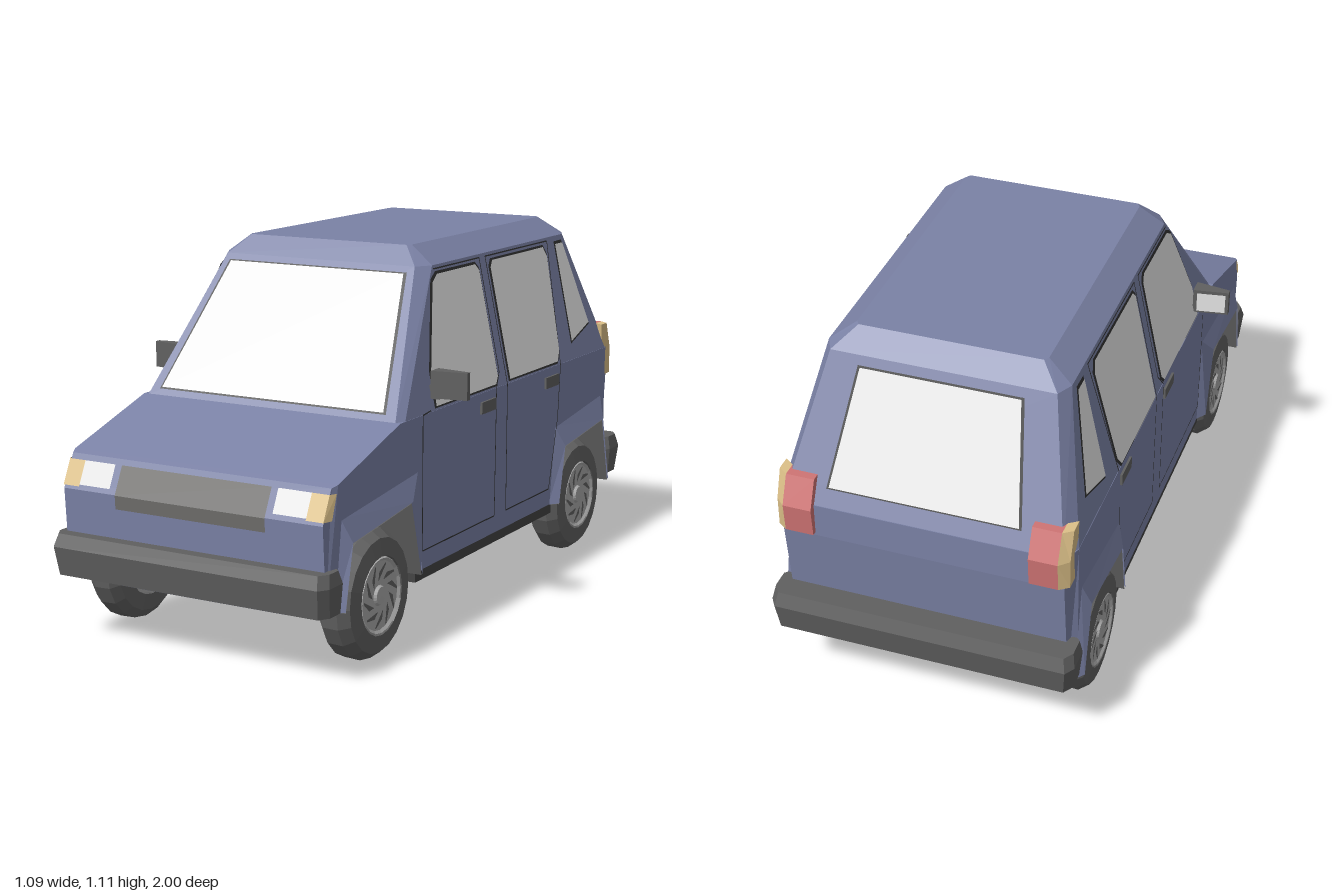
import * as THREE from 'three';

const paint = (color) => new THREE.MeshStandardMaterial({ color, side: THREE.DoubleSide });

export function createModel() {
  const car = new THREE.Group();
  car.name = 'car';
  const M = {
    bodyBlue: paint(0x7b82a6), glass: paint(0xe8e8e8), bumperGrey: paint(0x606060), grilleGrey: paint(0x6e6d6b),
    tyreGrey: paint(0x626262), rimSilver: paint(0xaaaaaa), trimDark: paint(0x343434), floorGrey: paint(0x444444),
    lampRed: paint(0xcf7474), lampAmber: paint(0xdcc088),
  };
  for (const key in M) M[key].name = key;

  const add = (parent, name, geo, mat) => {
    const mesh = new THREE.Mesh(geo, mat);
    mesh.name = name;
    parent.add(mesh);
  };
  const fromTriangles = (pts) => {
    const g = new THREE.BufferGeometry();
    g.setAttribute('position', new THREE.Float32BufferAttribute(pts.flat(), 3));
    g.computeVertexNormals();
    return g;
  };
  // Flat convex plate from 3D corners
  const plate = (p) => {
    const t = [];
    for (let i = 1; i < p.length - 1; i++) t.push(p[0], p[i], p[i + 1]);
    return fromTriangles(t);
  };
  // Side profile of [z, y] points extruded from x0 to x1
  const prism = (profile, x0, x1) => {
    const shape = new THREE.Shape(profile.map(([z, y]) => new THREE.Vector2(z, y)));
    const g = new THREE.ExtrudeGeometry(shape, { depth: x1 - x0, bevelEnabled: false });
    return g.rotateY(-Math.PI / 2).translate(x1, 0, 0);
  };
  const bend = (g, rule) => {
    const p = g.attributes.position, v = new THREE.Vector3();
    for (let i = 0; i < p.count; i++) {
      v.fromBufferAttribute(p, i);
      rule(v);
      p.setXYZ(i, v.x, v.y, v.z);
    }
    g.computeVertexNormals();
    return g;
  };
  // Horizontal ring with chamfered corners, and a loft through such rings
  const ring = (y, zf, zr, w, cx, cz, rx = cx, rz = cz) => [
    [w, y, zr + rz], [w, y, zf - cz], [w - cx, y, zf], [cx - w, y, zf],
    [-w, y, zf - cz], [-w, y, zr + rz], [rx - w, y, zr], [w - rx, y, zr]];
  const loft = (rings) => {
    const t = [], n = rings[0].length;
    for (let k = 0; k < rings.length - 1; k++) {
      const a = rings[k], b = rings[k + 1];
      for (let i = 0; i < n; i++) {
        const j = (i + 1) % n;
        t.push(a[i], b[i], a[j], b[i], b[j], a[j]);
      }
    }
    const lo = rings[0], hi = rings[rings.length - 1];
    for (let i = 1; i < n - 1; i++) t.push(lo[0], lo[i], lo[i + 1], hi[0], hi[i + 1], hi[i]);
    return fromTriangles(t);
  };
  // Surface positions of the body
  const sideX = (y) => 0.44 - Math.max(0, y - 0.655) * 0.2125;
  const rearZ = (y) => -0.745 - (1.055 - y) * 0.4875;
  const shieldZ = (y) => 0.55 - (y - 0.655) * 0.725;
  const noseZ = (y) => (y > 0.45 ? 0.955 - (y - 0.45) * 0.474 : 0.955 - (0.45 - y) * 0.06);
  const tailZ = (y) => -0.9 - (y - 0.2) * 0.114;

  // Lower body with wheel arches cut out, plus tapered nose and tail
  const frontArch = [[0.89, 0.2], [0.85, 0.385], [0.515, 0.425], [0.455, 0.2]];
  const rearArch = [[-0.48, 0.2], [-0.52, 0.385], [-0.825, 0.42], [-0.88, 0.2]];
  add(car, 'lowerBody', prism([[-0.88, 0.655], [0.55, 0.655], [0.89, 0.5515], ...frontArch, ...rearArch], -0.44, 0.44), M.bodyBlue);
  add(car, 'nose', bend(prism([[0.89, 0.2], [0.89, 0.5515], [0.91, 0.545], [0.955, 0.45], [0.94, 0.2]], -0.44, 0.44),
    (v) => { if (v.z > 0.9) v.x *= 0.98; }), M.bodyBlue);
  add(car, 'tail', bend(prism([[-0.88, 0.2], [-0.9, 0.2], [-0.94, 0.55], [-0.94, 0.655], [-0.88, 0.655]], -0.44, 0.44),
    (v) => { if (v.z < -0.89) v.x *= 0.95; }), M.bodyBlue);

  // Cabin and roof
  add(car, 'cabin', loft([
    ring(0.65, 0.553, -0.94, 0.44, 0.015, 0.03, 0.025, 0.06),
    ring(1.055, 0.26, -0.745, 0.355, 0.03, 0.05, 0.025, 0.05),
    ring(1.11, 0.21, -0.68, 0.28, 0.01, 0.015)]), M.bodyBlue);

  // Underside
  add(car, 'frontValance', loft([ring(0.168, 0.9, 0.8, 0.29, 0.01, 0.01),
    ring(0.21, 0.93, 0.84, 0.4, 0.01, 0.01)]), M.bodyBlue);
  add(car, 'rearValance', loft([ring(0.168, -0.8, -0.9, 0.29, 0.01, 0.01),
    ring(0.22, -0.85, -0.92, 0.4, 0.01, 0.01)]), M.bodyBlue);
  add(car, 'floor', prism([[-0.89, 0.165], [-0.89, 0.3], [0.87, 0.3], [0.87, 0.165]], -0.32, 0.32), M.floorGrey);
  add(car, 'sill', prism([[-0.475, 0.167], [-0.475, 0.205], [0.45, 0.205], [0.45, 0.167]], -0.435, 0.435), M.floorGrey);
  for (const z of [0.675, -0.68])
    add(car, 'wheelWell', new THREE.BoxGeometry(0.655, 0.24, 0.36).translate(0, 0.3, z), M.tyreGrey);

  // Bumpers
  add(car, 'frontBumper', loft([ring(0.2, 0.985, 0.89, 0.452, 0.02, 0.03, 0.01, 0.01),
    ring(0.285, 1.0, 0.89, 0.46, 0.02, 0.03, 0.01, 0.01),
    ring(0.322, 0.985, 0.9, 0.452, 0.02, 0.03, 0.01, 0.01)]), M.bumperGrey);
  add(car, 'rearBumper', loft([ring(0.215, -0.89, -0.985, 0.452, 0.01, 0.01, 0.02, 0.03),
    ring(0.3, -0.885, -1.0, 0.46, 0.01, 0.01, 0.02, 0.03),
    ring(0.342, -0.89, -0.985, 0.452, 0.01, 0.01, 0.02, 0.03)]), M.bumperGrey);

  // Window: glass plate over a slightly larger dark seal; at(a, b, lift) maps onto the body
  const windowPane = (parent, name, outline, at) => {
    const n = outline.length;
    const ca = outline.reduce((s, p) => s + p[0], 0) / n, cb = outline.reduce((s, p) => s + p[1], 0) / n;
    const seal = outline.map(([a, b]) => {
      const d = 0.009 / Math.hypot(a - ca, b - cb);
      return [a + (a - ca) * d, b + (b - cb) * d];
    });
    add(parent, name + 'Seal', plate(seal.map(([a, b]) => at(a, b, 0.003))), M.trimDark);
    add(parent, name, plate(outline.map(([a, b]) => at(a, b, 0.006))), M.glass);
  };
  windowPane(car, 'windshield', [[-0.38, 0.675], [0.38, 0.675], [0.3, 1.032], [-0.3, 1.032]],
    (x, y, d) => [x, y + d * 0.6, shieldZ(y) + d]);
  windowPane(car, 'rearWindow', [[0.28, 0.71], [-0.28, 0.71], [-0.235, 1.025], [0.235, 1.025]],
    (x, y, d) => [x, y + d * 0.4, rearZ(y) - d]);

  // Grille on the two nose faces
  const nosePlate = (x0, x1, y0, y1, d) => plate([[x0, y0, noseZ(y0) + d], [x1, y0, noseZ(y0) + d],
    [x1, y1, noseZ(y1) + d], [x0, y1, noseZ(y1) + d]]);
  add(car, 'grilleUpper', nosePlate(-0.25, 0.25, 0.45, 0.53, 0.004), M.grilleGrey);
  add(car, 'grilleLower', nosePlate(-0.25, 0.25, 0.41, 0.45, 0.004), M.grilleGrey);

  // Number plate panel
  add(car, 'numberPlatePanel', plate([[0.14, 0.42], [-0.14, 0.42], [-0.14, 0.5], [0.14, 0.5]]
    .map(([x, y]) => [x, y, tailZ(y) - 0.004])), M.bodyBlue);

  // Tyre and rim profiles: [radius, offset along the axle]
  const lathe = (pts) => {
    const g = new THREE.LatheGeometry(pts.map(([r, h]) => new THREE.Vector2(r, h)), 20).rotateZ(-Math.PI / 2).toNonIndexed();
    g.computeVertexNormals();
    return g;
  };
  const addWheel = (parent, z) => {
    const wheel = new THREE.Group();
    wheel.name = 'wheel';
    wheel.position.set(0.393, 0.188, z);
    parent.add(wheel);
    add(wheel, 'tyre', lathe([[0.108, -0.04], [0.112, -0.056], [0.16, -0.052], [0.185, -0.03], [0.187, 0.02],
      [0.165, 0.05], [0.114, 0.057], [0.108, 0.04]]), M.tyreGrey);
    add(wheel, 'rim', lathe([[0, -0.046], [0.11, -0.046], [0.112, 0.048], [0.108, 0.056], [0.1, 0.05],
      [0.03, 0.047], [0.025, 0.055], [0, 0.056]]), M.rimSilver);
    // Swirled slots
    for (let i = 0; i < 10; i++) {
      const a = i * Math.PI / 5;
      const at = (r, t) => [0.053, r * Math.sin(a + t), r * Math.cos(a + t)];
      add(wheel, 'rimSlot', plate([at(0.045, 0), at(0.07, 0.2), at(0.094, 0.6), at(0.092, 0.66), at(0.067, 0.28)]), M.tyreGrey);
    }
  };

  const sidePoint = (z, y, d) => [sideX(y) + d, y, z];
  const sideWindows = {
    frontDoorWindow: [[0.2, 1.03], [-0.045, 1.03], [-0.065, 1.01], [-0.065, 0.69], [-0.045, 0.668], [0.34, 0.668], [0.335, 0.77], [0.235, 1.01]],
    rearDoorWindow: [[-0.16, 1.03], [-0.525, 1.03], [-0.545, 1.0], [-0.515, 0.7], [-0.49, 0.668], [-0.142, 0.668], [-0.142, 1.01]],
    quarterWindow: [[-0.62, 1.03], [-0.675, 1.03], [-0.772, 0.757], [-0.62, 0.715]],
  };
  const doorLines = [
    [[0.37, 0.66], [0.42, 0.655], [0.42, 0.255], [-0.045, 0.255], [-0.05, 0.655], [-0.085, 0.7], [-0.085, 1.045], [0.21, 1.045]],
    [[-0.125, 1.045], [-0.125, 0.655], [-0.125, 0.255], [-0.44, 0.255], [-0.5, 0.48], [-0.515, 0.655], [-0.57, 1.045], [-0.125, 1.045]]];
  const flares = [
    [frontArch, [[0.91, 0.2], [0.875, 0.455], [0.44, 0.5], [0.42, 0.2]]],
    [rearArch, [[-0.45, 0.2], [-0.485, 0.455], [-0.85, 0.5], [-0.91, 0.2]]]];

  // Everything on one flank, built on +x and mirrored
  for (const s of [1, -1]) {
    const flank = new THREE.Group();
    flank.name = s > 0 ? 'leftFlank' : 'rightFlank';
    flank.scale.x = s;
    car.add(flank);

    for (const name in sideWindows) windowPane(flank, name, sideWindows[name], sidePoint);

    // Door gaps
    for (const line of doorLines) for (let i = 0; i < line.length - 1; i++) {
      const [z, y] = line[i], [z2, y2] = line[i + 1], l = Math.hypot(z2 - z, y2 - y);
      const nz = -(y2 - y) / l * 0.002, ny = (z2 - z) / l * 0.002;
      add(flank, 'doorGap', plate([sidePoint(z + nz, y + ny, 0.002), sidePoint(z2 + nz, y2 + ny, 0.002),
        sidePoint(z2 - nz, y2 - ny, 0.002), sidePoint(z - nz, y - ny, 0.002)]), M.trimDark);
    }
    for (const z of [0.008, -0.447])
      add(flank, 'doorHandle', new THREE.BoxGeometry(0.014, 0.036, 0.095).translate(0.44, 0.61, z), M.bumperGrey);

    // Wheel arch flares with a grey liner reaching inward
    for (const [inner, outer] of flares) for (let i = 0; i < 3; i++) {
      const at = (p, x) => [x, p[1], p[0]];
      const mid = (inner[0][0] + inner[3][0]) / 2;
      const liner = (p, x) => [x, p[1] - 0.004, p[0] + Math.sign(mid - p[0]) * 0.004];
      add(flank, 'archFlare', plate([at(outer[i], 0.438), at(outer[i + 1], 0.438), at(inner[i + 1], 0.463), at(inner[i], 0.463)]), M.bodyBlue);
      add(flank, 'archLiner', plate([liner(inner[i], 0.461), liner(inner[i + 1], 0.461), liner(inner[i + 1], 0.325), liner(inner[i], 0.325)]), M.tyreGrey);
    }
    addWheel(flank, 0.67);
    addWheel(flank, -0.67);

    // Door mirror, thinner at the tip, with its glass facing back
    const head = new THREE.BoxGeometry(0.11, 0.08, 0.05).translate(0.488, 0.734, 0.335);
    const taper = (v) => { if (v.x > 0.5) v.z = 0.335 + (v.z - 0.335) * 0.35; };
    add(flank, 'mirrorHead', bend(head, taper), M.bumperGrey);
    add(flank, 'mirrorGlass', plate([[0.446, 0.702, 0.307], [0.534, 0.702, 0.321], [0.534, 0.766, 0.321], [0.446, 0.766, 0.307]]), M.glass);
    add(flank, 'mirrorStem', new THREE.BoxGeometry(0.04, 0.04, 0.03).translate(0.435, 0.71, 0.335), M.bumperGrey);

    // Head lamps with wrap-around indicators
    add(flank, 'headLamp', nosePlate(0.272, 0.378, 0.465, 0.53, 0.005), M.glass);
    add(flank, 'indicator', nosePlate(0.378, 0.433, 0.46, 0.53, 0.005), M.lampAmber);
    add(flank, 'indicatorSide', plate([[0.433, 0.46, noseZ(0.46) + 0.005], [0.433, 0.53, noseZ(0.53) + 0.005],
      [0.442, 0.53, 0.9], [0.442, 0.46, 0.925]]), M.lampAmber);

    // Tail lamps, the amber end wrapping round the corner
    const tail = [[-0.9, 0.56], [-0.955, 0.56], [-0.962, 0.65], [-0.925, 0.735], [-0.88, 0.735]];
    add(flank, 'tailLamp', prism(tail, 0.32, 0.405), M.lampRed);
    add(flank, 'tailIndicator', bend(prism(tail, 0.405, 0.433), (v) => {
      if (v.x > 0.42) v.z = Math.max(v.z + 0.02, -0.935);
    }), M.lampAmber);
  }
  return car;
}
